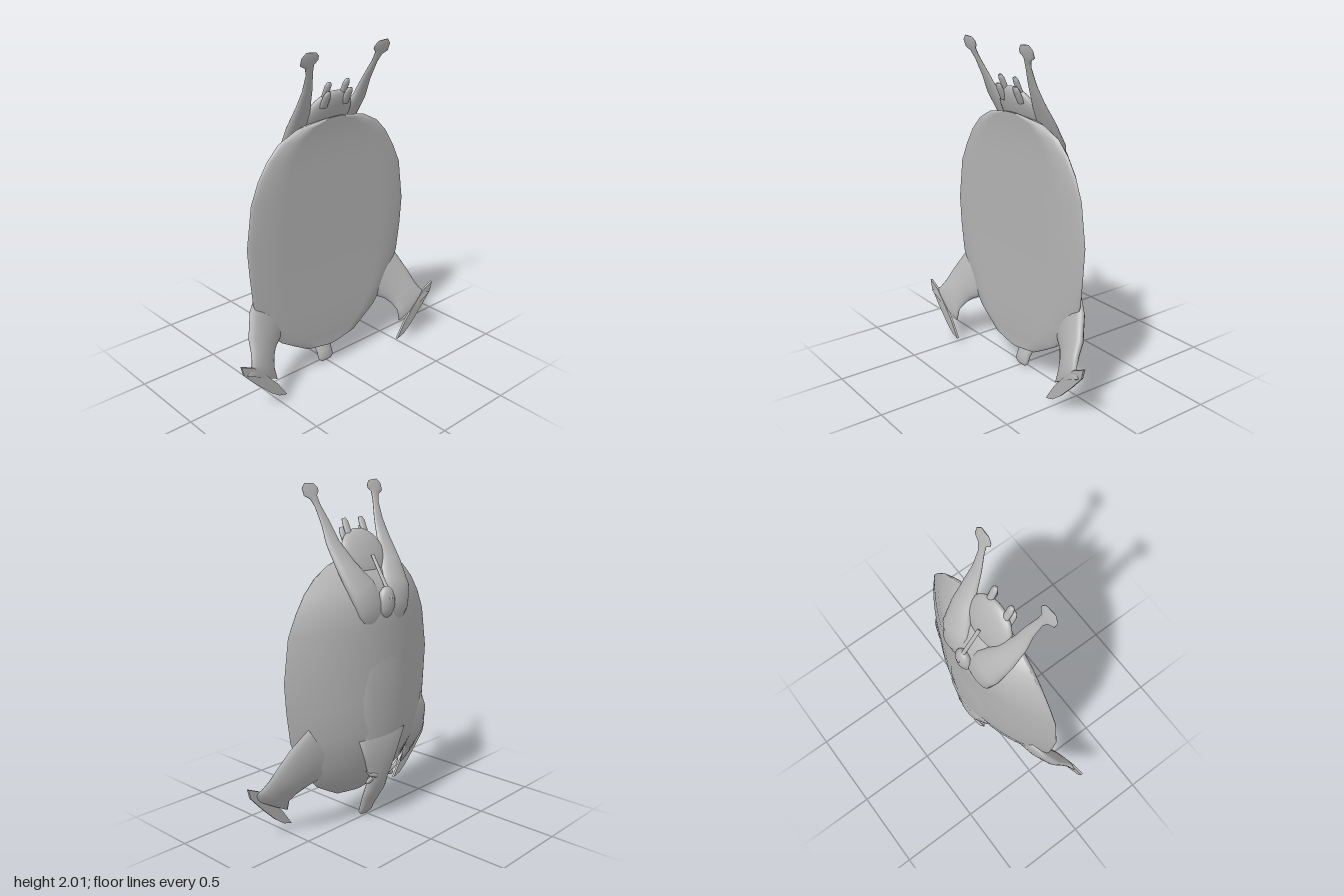
import * as THREE from 'three';

const hide = new THREE.MeshStandardMaterial({ color: 0xb4b4b4, side: THREE.DoubleSide });
hide.name = 'grey hide';

// Skin a list of closed rings of points, with end caps
function skin(rings) {
  const n = rings[0].length, pos = [], idx = [];
  rings.forEach(r => r.forEach(p => pos.push(p.x, p.y, p.z)));
  for (let i = 0; i < rings.length - 1; i++) {
    for (let j = 0; j < n; j++) {
      const a = i * n + j, b = i * n + (j + 1) % n;
      idx.push(a, a + n, b, b, a + n, b + n);
    }
  }
  [0, rings.length - 1].forEach((ri, end) => {
    const c = new THREE.Vector3();
    rings[ri].forEach(p => c.addScaledVector(p, 1 / n));
    const k = pos.length / 3;
    pos.push(c.x, c.y, c.z);
    for (let j = 0; j < n; j++) {
      const a = ri * n + j, b = ri * n + (j + 1) % n;
      if (end) idx.push(k, b, a); else idx.push(k, a, b);
    }
  });
  const g = new THREE.BufferGeometry();
  g.setAttribute('position', new THREE.Float32BufferAttribute(pos, 3));
  g.setIndex(idx);
  g.computeVertexNormals();
  return g;
}

// Elliptical loft; sections are [x, y, z, half width along "across", half depth]
function limb(sections, across, s = 1, n = 20) {
  const c = sections.map(q => new THREE.Vector3(q[0] * s, q[1], q[2]));
  return skin(sections.map((q, i) => {
    const T = c[Math.min(i + 1, c.length - 1)].clone().sub(c[Math.max(i - 1, 0)]).normalize();
    const A = new THREE.Vector3(across[0] * s, across[1], across[2]);
    A.addScaledVector(T, -A.dot(T)).normalize();
    const B = A.clone().cross(T);
    return Array.from({ length: n }, (_, j) => {
      const t = j / n * Math.PI * 2;
      return c[i].clone().addScaledVector(A, Math.cos(t) * q[3]).addScaledVector(B, Math.sin(t) * q[4]);
    });
  }));
}

export function createModel() {
  const model = new THREE.Group();
  const add = (name, geo) => {
    const m = new THREE.Mesh(geo, hide);
    m.name = name;
    model.add(m);
    return m;
  };
  const blob = (name, p, r) => {
    const m = add(name, new THREE.SphereGeometry(1, 28, 18));
    m.position.set(...p);
    m.scale.set(...r);
    return m;
  };

  // Flattened body: [y, half width, belly z, rim z, back z]
  const body = [
    [0.145, 0.04, 0.08, 0.075, 0.07], [0.17, 0.19, 0.08, 0.07, 0.05],
    [0.22, 0.28, 0.08, 0.06, 0.005], [0.28, 0.38, 0.085, 0.05, -0.05],
    [0.42, 0.50, 0.085, 0.045, -0.12], [0.6, 0.575, 0.083, 0.05, -0.152],
    [0.78, 0.595, 0.083, 0.055, -0.155], [0.95, 0.607, 0.083, 0.055, -0.155],
    [1.2, 0.57, 0.083, 0.055, -0.155], [1.32, 0.515, 0.083, 0.05, -0.15],
    [1.42, 0.45, 0.085, 0.05, -0.125], [1.5, 0.37, 0.09, 0.05, -0.06],
    [1.56, 0.25, 0.095, 0.06, 0.0], [1.595, 0.06, 0.1, 0.09, 0.085],
  ];
  add('body', skin(body.map(([y, w, front, rim, back]) => Array.from({ length: 48 }, (_, j) => {
    const t = j / 48 * Math.PI * 2, s = Math.sin(t);
    const z = s > 0 ? rim + (front - rim) * Math.min(1, s * 1.4) : rim + (back - rim) * s * s;
    return new THREE.Vector3(w * Math.cos(t), y, z);
  }))));
  blob('spineRidge', [0, 0.8, -0.115], [0.2, 0.45, 0.045]);

  // Neck and head, muzzle at the bottom
  add('head', limb([
    [0, 0.0, 0.022, 0.04, 0.01], [0, 0.02, 0.017, 0.058, 0.022], [0, 0.06, 0.003, 0.055, 0.028],
    [0, 0.13, -0.03, 0.07, 0.034], [0, 0.2, -0.065, 0.08, 0.04], [0, 0.28, -0.09, 0.075, 0.045],
    [0, 0.38, -0.105, 0.12, 0.05], [0, 0.55, -0.115, 0.2, 0.045],
  ], [1, 0, 0]));

  // Tail and tail head
  blob('tailHead', [0, 1.345, -0.145], [0.06, 0.09, 0.04]);
  add('tail', limb([
    [0, 1.34, -0.17, 0.012, 0.012], [0, 1.37, -0.178, 0.013, 0.012],
    [0, 1.43, -0.145, 0.012, 0.01], [0, 1.6, -0.04, 0.012, 0.008],
  ], [1, 0, 0], 1, 10));

  // Udder, tilted along the hind legs
  blob('udder', [0, 1.6, 0.03], [0.165, 0.155, 0.045]).rotation.x = 0.42;

  // Front hoof outline, a long crescent
  const hoofLine = [[0.775, 0.35], [0.76, 0.29], [0.68, 0.2], [0.58, 0.1], [0.52, 0.055],
    [0.462, 0.038], [0.53, 0.14], [0.6, 0.22], [0.69, 0.31]];

  for (const s of [1, -1]) {
    const side = s > 0 ? 'left' : 'right';

    add(side + 'HindLeg', limb([
      [0.07, 1.24, -0.12, 0.09, 0.025], [0.1, 1.33, -0.12, 0.11, 0.045],
      [0.14, 1.43, -0.085, 0.105, 0.05], [0.185, 1.55, -0.012, 0.075, 0.035],
      [0.21, 1.68, 0.068, 0.05, 0.022], [0.217, 1.78, 0.112, 0.034, 0.014],
      [0.238, 1.88, 0.155, 0.022, 0.01], [0.252, 1.925, 0.172, 0.03, 0.01],
      [0.26, 1.945, 0.18, 0.06, 0.01], [0.262, 1.975, 0.19, 0.06, 0.008], [0.26, 2.0, 0.197, 0.035, 0.003],
    ], [1, 0, 0], s));

    add(side + 'FrontLeg', limb([
      [0.38, 0.52, 0.0, 0.19, 0.04], [0.48, 0.45, 0.04, 0.155, 0.045],
      [0.55, 0.365, 0.09, 0.12, 0.042], [0.575, 0.315, 0.125, 0.105, 0.035],
      [0.6, 0.265, 0.16, 0.105, 0.025], [0.625, 0.215, 0.185, 0.14, 0.015],
    ], [0.68, 0.73, 0], s));

    const shape = new THREE.Shape(hoofLine.map(([x, y]) => new THREE.Vector2(x * s, y)));
    const hoof = new THREE.ExtrudeGeometry(shape, { depth: 0.014, bevelEnabled: false });
    hoof.translate(0, 0, 0.184);
    add(side + 'FrontHoof', hoof);

    // Horns and ears
    add(side + 'Horn', limb([
      [0, 0.31, -0.115, 0.018, 0.018], [0.06, 0.305, -0.122, 0.015, 0.014],
      [0.11, 0.32, -0.125, 0.011, 0.01], [0.145, 0.355, -0.12, 0.003, 0.003],
    ], [0, 1, 0], s, 10));
    blob(side + 'Ear', [0.085 * s, 0.275, -0.1], [0.04, 0.016, 0.01]).rotation.z = -0.3 * s;

    // Teats, a long and a short one per side
    add(side + 'UpperTeat', limb([
      [0.065, 1.68, 0.065, 0.022, 0.016], [0.068, 1.78, 0.11, 0.022, 0.014], [0.068, 1.8, 0.12, 0.014, 0.009],
    ], [1, 0, 0], s, 12));
    add(side + 'LowerTeat', limb([
      [0.08, 1.66, 0.085, 0.026, 0.016], [0.08, 1.73, 0.118, 0.026, 0.014], [0.08, 1.75, 0.127, 0.016, 0.009],
    ], [1, 0, 0], s, 12));
  }
  return model;
}
